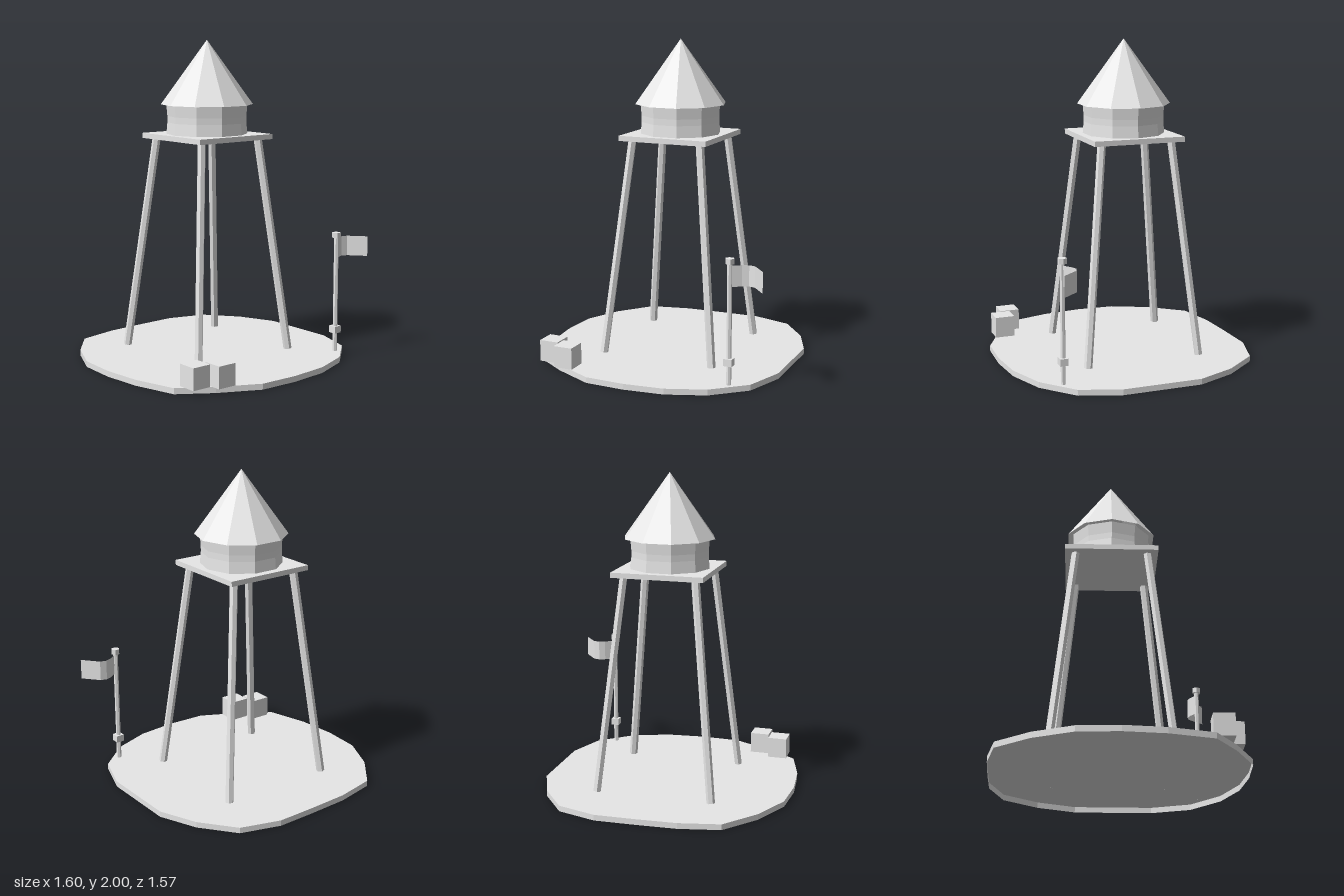
import * as THREE from 'three';

// One pale grey; double-sided because the ground, roof and flag are open shells
const grey = new THREE.MeshStandardMaterial({ color: 0xe7e7e7 });
grey.name = 'pale grey';
grey.flatShading = true;
grey.side = THREE.DoubleSide;

const TOWER_X = 0.004;
const TOWER_Z = -0.051;
const GROUND_Y = 0.036;

export function createModel() {
  const model = new THREE.Group();
  model.name = 'waterTower';

  const add = (name, geometry, x = 0, y = 0, z = 0, parent = model) => {
    const mesh = new THREE.Mesh(geometry, grey);
    mesh.name = name;
    mesh.position.set(x, y, z);
    parent.add(mesh);
    return mesh;
  };

  // Uneven ground disc, outline as x, z pairs, with a rim and open below
  const outline = [
    [0.26, -0.785], [0.51, -0.71], [0.675, -0.5], [0.775, -0.26], [0.775, 0.24],
    [0.69, 0.49], [0.49, 0.665], [0.25, 0.755], [0, 0.78], [-0.25, 0.77],
    [-0.5, 0.645], [-0.7, 0.51], [-0.775, 0.24], [-0.8, -0.01], [-0.785, -0.26],
    [-0.675, -0.5], [-0.505, -0.71], [-0.25, -0.765], [0, -0.778],
  ];
  const n = outline.length;
  const disc = new THREE.ShapeGeometry(
    new THREE.Shape(outline.map(([x, z]) => new THREE.Vector2(x, -z))));
  add('groundTop', disc.rotateX(-Math.PI / 2), 0, GROUND_Y, 0);

  const rim = new THREE.CylinderGeometry(1, 1, GROUND_Y, n, 1, true);
  const r = rim.attributes.position;
  for (let i = 0; i < r.count; i++) {
    const [x, z] = outline[(n - (i % (n + 1))) % n];
    r.setX(i, x);
    r.setZ(i, z);
  }
  rim.computeVertexNormals();
  add('groundRim', rim, 0, GROUND_Y / 2, 0);

  // Tower: everything below is centred on its own axis
  const tower = new THREE.Group();
  tower.name = 'tower';
  tower.position.set(TOWER_X, 0, TOWER_Z);
  model.add(tower);

  // Four splayed six-sided legs, their tips just piercing the ground
  const up = new THREE.Vector3(0, 1, 0);
  for (const sx of [-1, 1]) {
    for (const sz of [-1, 1]) {
      const foot = new THREE.Vector3(sx * 0.367, GROUND_Y + 0.002, sz * 0.367);
      const head = new THREE.Vector3(sx * 0.225, 1.395, sz * 0.225);
      const run = head.clone().sub(foot);
      const geometry = new THREE.CylinderGeometry(
        0.026, 0.026, run.length(), 6, 1, false, Math.atan2(sx, sz));
      const mid = foot.clone().add(head).multiplyScalar(0.5);
      const leg = add(`${sz > 0 ? 'front' : 'back'}${sx > 0 ? 'Left' : 'Right'}Leg`,
        geometry, mid.x, mid.y, mid.z, tower);
      leg.quaternion.setFromUnitVectors(up, run.normalize());
    }
  }

  // Platform
  add('platform', new THREE.BoxGeometry(0.58, 0.032, 0.583), 0, 1.4, 0, tower);

  // Ten-sided tank with a slightly narrower waist
  const tank = new THREE.CylinderGeometry(0.255, 0.255, 0.19, 10, 3, false, Math.PI / 2);
  const p = tank.attributes.position;
  for (let i = 0; i < p.count; i++) {
    const y = p.getY(i);
    if (Math.abs(y) < 0.05) {
      p.setXYZ(i, p.getX(i) * 0.975, Math.sign(y) * 0.02, p.getZ(i) * 0.975);
    }
  }
  tank.computeVertexNormals();
  add('tank', tank, 0, 1.508, 0, tower);

  // Conical roof with a wide eave, open underneath
  add('roof', new THREE.ConeGeometry(0.289, 0.4, 10, 1, true, Math.PI / 2), 0, 1.8, 0, tower);

  // Two crates on the rim
  const crate = new THREE.BoxGeometry(0.123, 0.134, 0.125);
  add('backCrate', crate, -0.587, 0.103, 0.562);
  add('frontCrate', crate, -0.453, 0.103, 0.63);

  // Flagpole with a square collar and a six-sided cap
  const pole = new THREE.Group();
  pole.name = 'flagpole';
  pole.position.set(0.573, 0, 0.54);
  model.add(pole);
  add('pole', new THREE.CylinderGeometry(0.015, 0.015, 0.74, 6), 0, 0.405, 0, pole);
  add('collar', new THREE.BoxGeometry(0.053, 0.044, 0.051), 0, 0.177, 0, pole);
  add('cap', new THREE.CylinderGeometry(0.028, 0.028, 0.033, 6, 1, false, Math.PI / 6),
    0, 0.784, 0, pole);

  // Waving flag: a plane bent along an S-shaped path of x, z points
  const wave = [[0.01, 0], [0.062, -0.037], [0.1, -0.052], [0.14, -0.042], [0.165, -0.012], [0.223, 0.058]];
  const cloth = new THREE.PlaneGeometry(1, 0.127, wave.length - 1, 1);
  const c = cloth.attributes.position;
  for (let i = 0; i < c.count; i++) {
    const [x, z] = wave[i % wave.length];
    c.setX(i, x);
    c.setZ(i, z);
  }
  cloth.computeVertexNormals();
  add('flag', cloth, 0, 0.694, 0, pole);

  return model;
}
